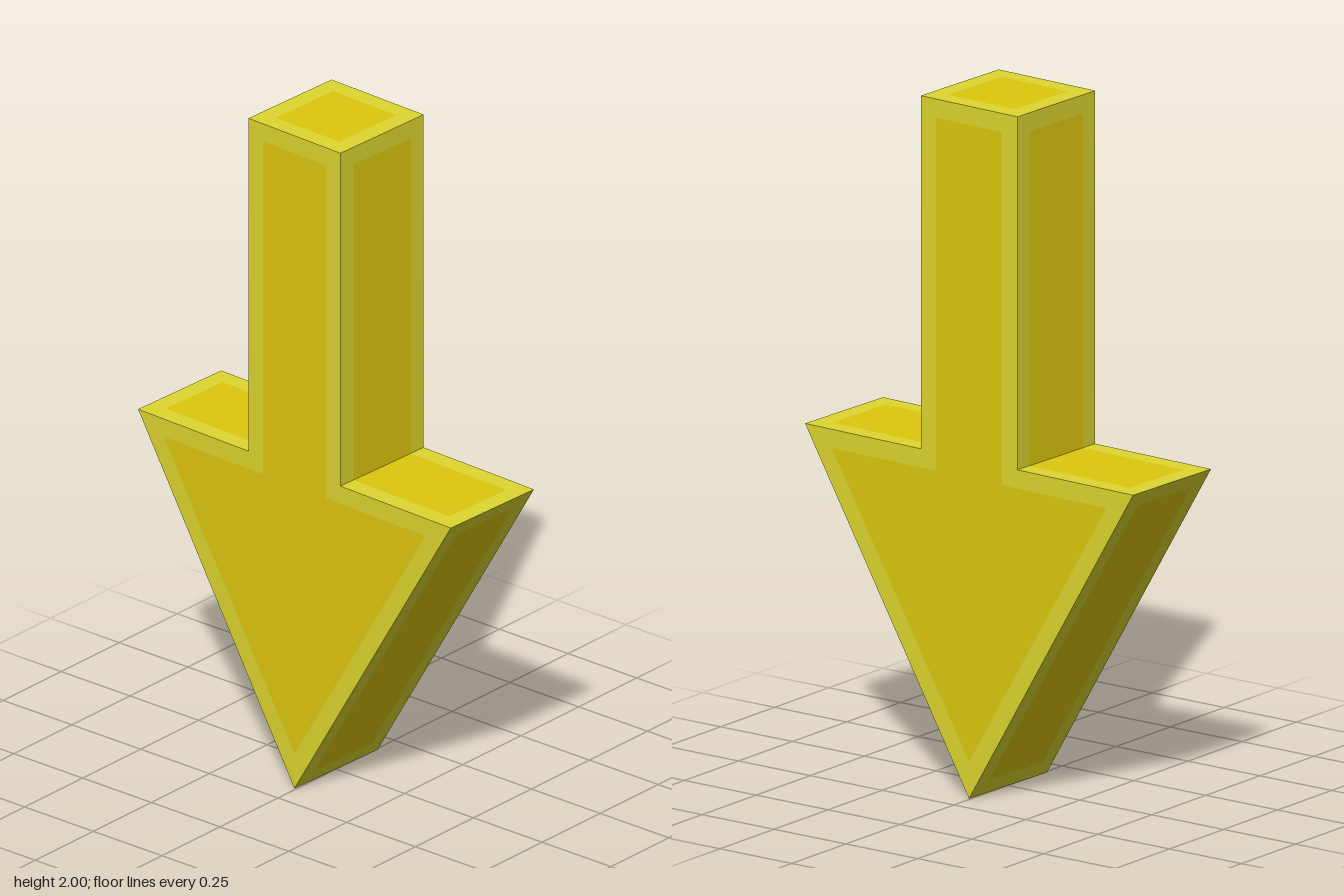
import * as THREE from 'three';
import { mergeGeometries } from 'three/addons/utils/BufferGeometryUtils.js';

const WIDTH = 0.345, HALF = WIDTH / 2, WING = 0.586, NECK = 0.98, TOP = 2;
const BORDER = 0.054, YAW = -0.034;

const rimMaterial = new THREE.MeshStandardMaterial({ color: 0xddd62f });
const panelMaterial = new THREE.MeshStandardMaterial({ color: 0xdec70e });

const flat = (points) => new THREE.ShapeGeometry(new THREE.Shape(points));

// Moves each edge of a counter-clockwise polygon inwards by its own distance.
function inset(points, distances) {
  const count = points.length;
  const lines = points.map((p, i) => {
    const d = points[(i + 1) % count].clone().sub(p).normalize();
    const n = new THREE.Vector2(-d.y, d.x);
    return { n, c: n.dot(p) + distances[i] };
  });
  return lines.map((b, i) => {
    const a = lines[(i + count - 1) % count];
    const det = a.n.cross(b.n);
    return new THREE.Vector2((a.c * b.n.y - b.c * a.n.y) / det, (a.n.x * b.c - b.n.x * a.c) / det);
  });
}

// A flat face: lighter mitred rim around a darker panel; rim width 0 leaves an edge open.
function createFace(name, outer, distances) {
  const inner = inset(outer, distances);
  const strips = [];
  outer.forEach((p, i) => {
    const j = (i + 1) % outer.length;
    if (distances[i] > 0) strips.push(flat([p, outer[j], inner[j], inner[i]]));
  });
  const face = new THREE.Group();
  face.name = name;
  const rim = new THREE.Mesh(mergeGeometries(strips), rimMaterial);
  rim.name = name + 'Rim';
  const panel = new THREE.Mesh(flat(inner), panelMaterial);
  panel.name = name + 'Panel';
  face.add(rim, panel);
  return face;
}

export function createModel() {
  const model = new THREE.Group();
  model.name = 'downArrow';

  // Arrow outline, counter-clockwise from the tip
  const profile = [
    [0, 0], [WING, NECK], [HALF, NECK], [HALF, TOP],
    [-HALF, TOP], [-HALF, NECK], [-WING, NECK],
  ].map(([x, y]) => new THREE.Vector2(x, y));

  // Two broad arrow faces
  for (const side of [1, -1]) {
    const face = createFace(side > 0 ? 'leftArrowFace' : 'rightArrowFace', profile, profile.map(() => BORDER));
    face.position.z = side * HALF;
    if (side < 0) face.rotation.y = Math.PI;
    model.add(face);
  }

  // Edge faces around the outline; the rim is open where wings meet the shaft
  const edges = [
    ['backSlope', 1, 1], ['backWingTop', 1, 0], ['shaftBack', 0, 1], ['shaftTop', 1, 1],
    ['shaftFront', 1, 0], ['frontWingTop', 0, 1], ['frontSlope', 1, 1],
  ];
  edges.forEach(([name, startRim, endRim], i) => {
    const a = profile[i], b = profile[(i + 1) % profile.length];
    const length = a.distanceTo(b);
    const rectangle = [[0, -HALF], [length, -HALF], [length, HALF], [0, HALF]]
      .map(([x, y]) => new THREE.Vector2(x, y));
    const face = createFace(name, rectangle, [BORDER, endRim * BORDER, BORDER, startRim * BORDER]);
    const u = new THREE.Vector3(b.x - a.x, b.y - a.y, 0).normalize();
    const v = new THREE.Vector3(0, 0, 1);
    face.quaternion.setFromRotationMatrix(new THREE.Matrix4().makeBasis(u, v, u.clone().cross(v)));
    face.position.set(a.x, a.y, 0);
    model.add(face);
  });

  // Broad faces look sideways, with a slight turn
  model.rotation.y = Math.PI / 2 + YAW;
  return model;
}
